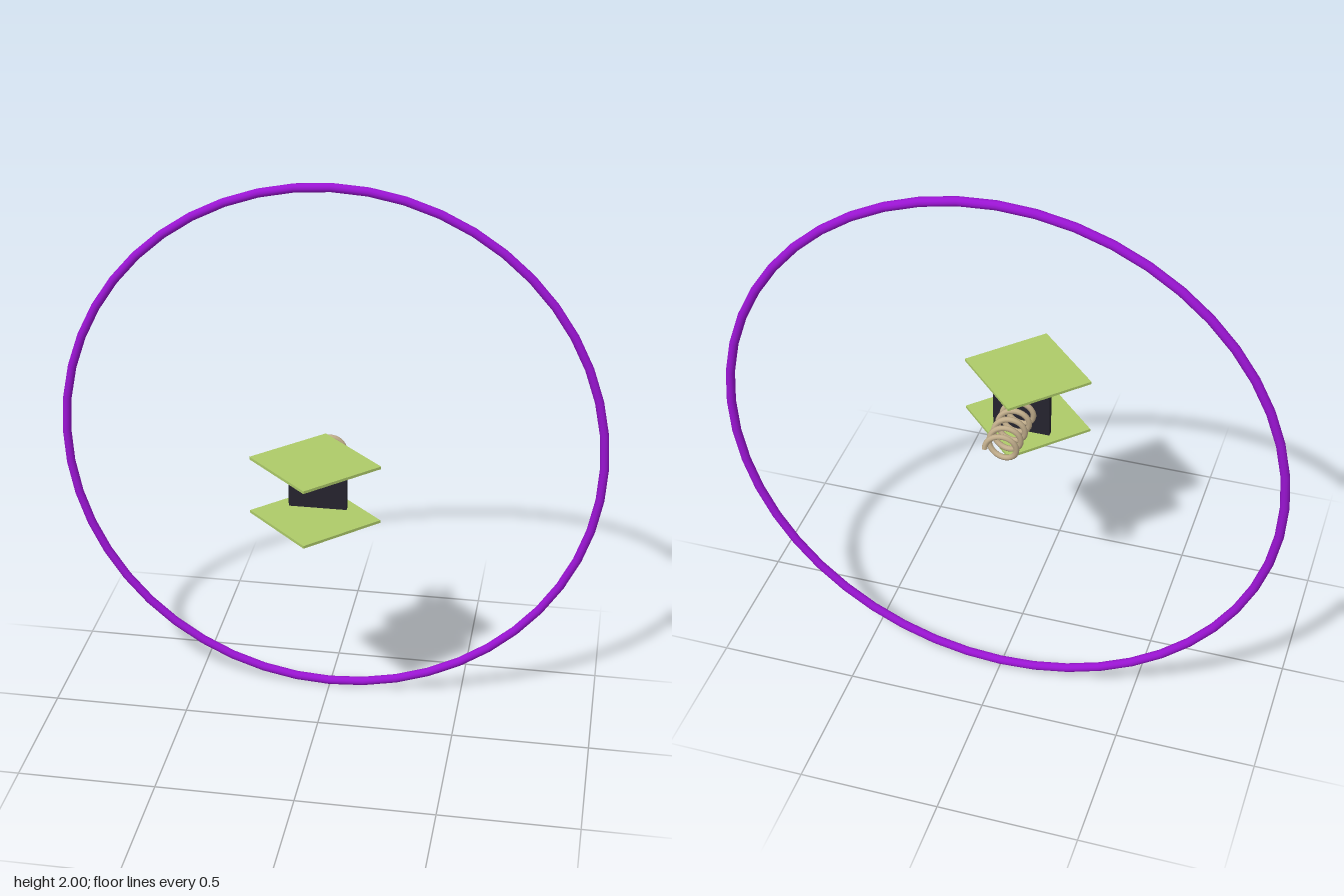
import * as THREE from 'three';

const material = (color) => new THREE.MeshStandardMaterial({ color });

function addPart(group, name, geometry, mat, x, y, z) {
  const mesh = new THREE.Mesh(geometry, mat);
  mesh.name = name;
  mesh.position.set(x, y, z);
  group.add(mesh);
  return mesh;
}

// Helix running along +z, starting at +x
class Helix extends THREE.Curve {
  constructor(radius, length, turns) {
    super();
    Object.assign(this, { radius, length, turns });
  }
  getPoint(t, target = new THREE.Vector3()) {
    const a = t * this.turns * Math.PI * 2;
    return target.set(this.radius * Math.cos(a), this.radius * Math.sin(a), t * this.length);
  }
}

export function createModel() {
  const model = new THREE.Group();
  model.name = 'ringWithSpringBracket';

  // Large thin hoop at the back
  addPart(model, 'hoop', new THREE.TorusGeometry(0.984, 0.016, 12, 48),
    material(0x9a14d2), 0, 1, -0.275);

  // Coil spring between hoop plane and panel
  addPart(model, 'spring', new THREE.TubeGeometry(new Helix(0.053, 0.25, 5), 160, 0.01, 8),
    material(0xc2ae8c), 0, 1, -0.27);

  // Dark upright panel
  addPart(model, 'panel', new THREE.BoxGeometry(0.206, 0.206, 0.022),
    material(0x25232e), 0, 1, -0.007);

  // Two square plates, turned to a diamond
  const plateMaterial = material(0xaecb69);
  for (const [name, side] of [['upperPlate', 1], ['lowerPlate', -1]]) {
    const plate = addPart(model, name, new THREE.BoxGeometry(0.326, 0.01, 0.326),
      plateMaterial, 0, 1 + side * 0.104, 0.06);
    plate.rotation.y = Math.PI / 4;
  }
  return model;
}
